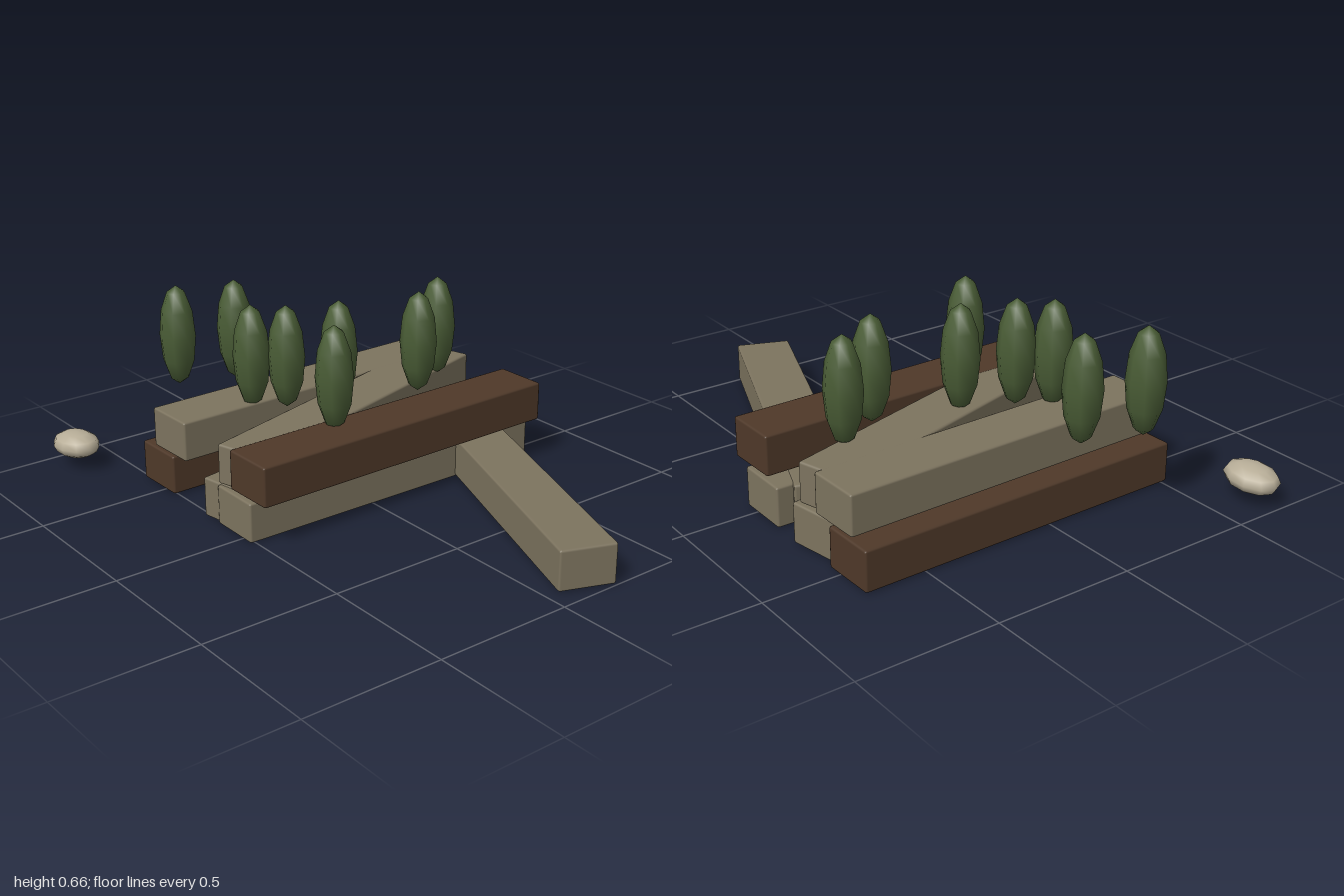
import * as THREE from 'three';
import { RoundedBoxGeometry } from 'three/addons/geometries/RoundedBoxGeometry.js';

const paint = (name, color) => {
  const m = new THREE.MeshStandardMaterial({ color });
  m.name = name;
  return m;
};

export function createModel() {
  const model = new THREE.Group();
  model.name = 'timberPile';

  const darkWood = paint('darkWood', 0x4f3929);
  const weatheredWood = paint('weatheredWood', 0x7d745f);
  const leafGreen = paint('leafGreen', 0x4a5d36);
  const paleStone = paint('paleStone', 0xb8ae98);

  const add = (name, geometry, material, x, y, z) => {
    const mesh = new THREE.Mesh(geometry, material);
    mesh.name = name;
    mesh.position.set(x, y, z);
    model.add(mesh);
    return mesh;
  };

  // Stacked beams in two layers: name, material, x, y, z, turn in degrees
  const beam = new RoundedBoxGeometry(0.2, 0.145, 1.245, 1, 0.008);
  const LOW = 0.078, HIGH = 0.233;
  [
    ['lowerDarkBeam', darkWood, -0.54, LOW, -0.105, 0.6],
    ['lowerSlantedBeam', weatheredWood, -0.237, LOW, -0.108, 10.2],
    ['lowerStraightBeam', weatheredWood, -0.043, LOW - 0.003, -0.105, -0.5],
    ['fallenBeam', weatheredWood, 0.383, LOW + 0.001, -0.36, 69],
    ['upperStraightBeam', weatheredWood, -0.46, HIGH, -0.105, 1],
    ['upperSlantedBeam', weatheredWood, -0.207, HIGH - 0.001, -0.105, 16],
    ['upperDarkBeam', darkWood, 0.03, HIGH + 0.001, -0.105, 0.6],
  ].forEach(([name, material, x, y, z, turn]) => {
    add(name, beam, material, x, y, z).rotation.y = THREE.MathUtils.degToRad(turn);
  });

  // Tall pointed shrubs
  const shrub = new THREE.SphereGeometry(1, 8, 6).scale(0.068, 0.19, 0.068);
  [
    [-0.235, -0.53], [-0.14, -0.36], [-0.235, -0.07], [-0.03, 0.105],
    [-0.305, 0.11], [-0.385, 0.205], [-0.67, 0.085], [-0.74, 0.29],
  ].forEach(([x, z], i) => {
    add('shrub' + (i + 1), shrub, leafGreen, x, 0.475, z);
  });

  // Flattened pebble
  const pebble = new THREE.SphereGeometry(1, 10, 6).scale(0.108, 0.048, 0.08);
  add('pebble', pebble, paleStone, -0.892, 0.087, 0.655).rotation.z = 0.05;

  return model;
}
